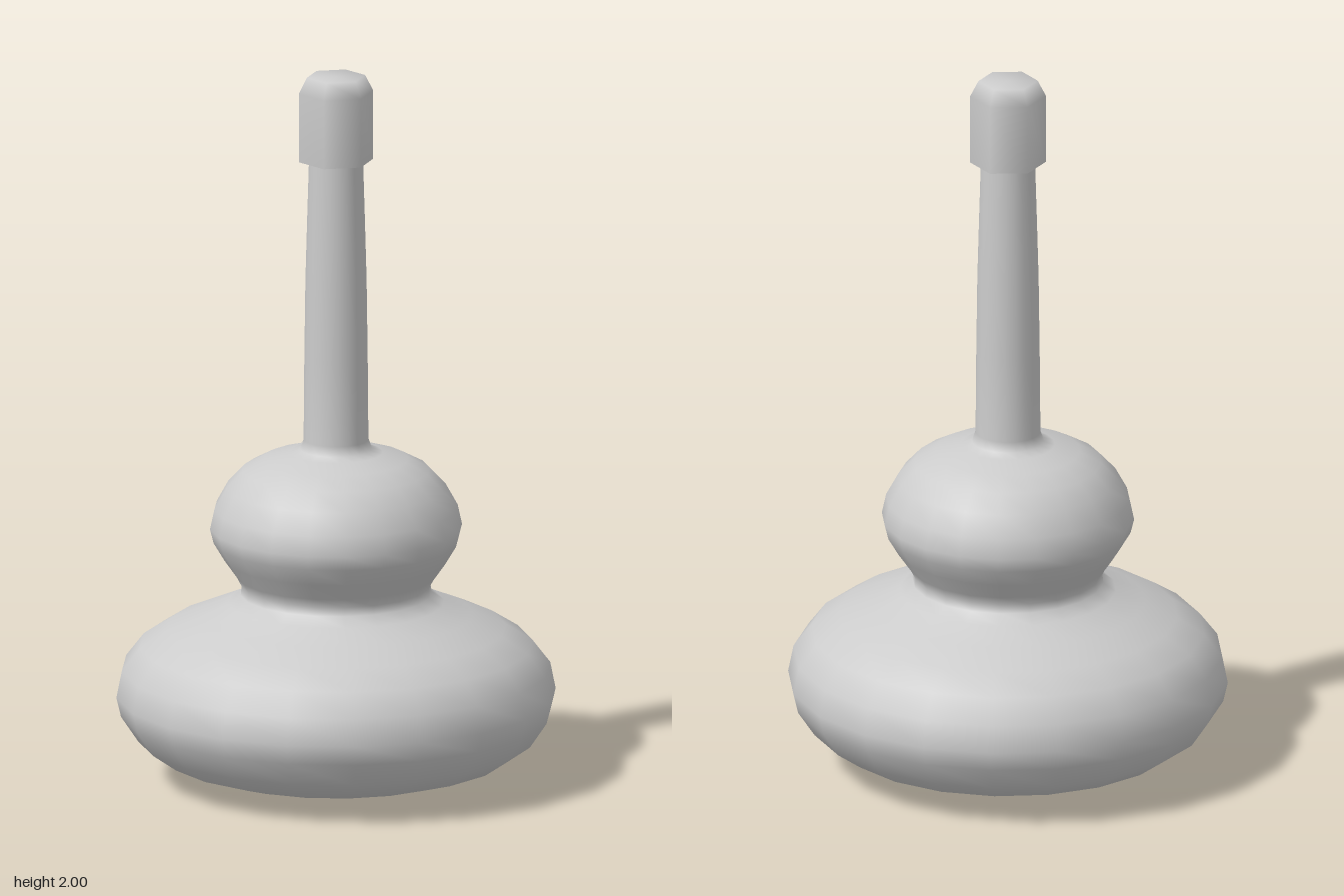
import * as THREE from 'three';

const material = new THREE.MeshStandardMaterial({ color: 0xcccccc, side: THREE.DoubleSide });

// Turned part from [radius, height] pairs, listed bottom to top
function turned(name, profile, sides) {
  const points = profile.map(([r, y]) => new THREE.Vector2(r, y));
  const mesh = new THREE.Mesh(new THREE.LatheGeometry(points, sides), material);
  mesh.name = name;
  return mesh;
}

export function createModel() {
  const model = new THREE.Group();
  model.name = 'turnedStand';

  // Wide squashed base, up to the narrow waist
  const base = [
    [0, 0], [0.2, 0.012], [0.38, 0.035], [0.48, 0.066], [0.55, 0.115],
    [0.597, 0.185], [0.61, 0.24], [0.595, 0.315], [0.545, 0.38], [0.47, 0.428],
    [0.38, 0.466], [0.3, 0.5], [0.265, 0.525], [0.262, 0.55],
  ];
  // Smaller bulb above the waist
  const bulb = [
    [0.275, 0.575], [0.31, 0.625], [0.34, 0.675], [0.35, 0.715], [0.338, 0.77],
    [0.305, 0.83], [0.26, 0.878], [0.2, 0.91], [0.13, 0.928], [0.1, 0.938],
  ];
  // Slim tapering stem
  const stem = [[0.09, 0.965], [0.088, 1.2], [0.085, 1.42], [0.08, 1.6], [0.074, 1.8]];
  model.add(turned('baseBulbAndStem', [...base, ...bulb, ...stem], 20));

  // Six-sided cap with a chamfered top, and its flat underside
  model.add(turned('cap', [[0.105, 1.76], [0.105, 1.955], [0.082, 2], [0, 2]], 6));
  model.add(turned('capUnderside', [[0, 1.76], [0.105, 1.76]], 6));

  return model;
}
